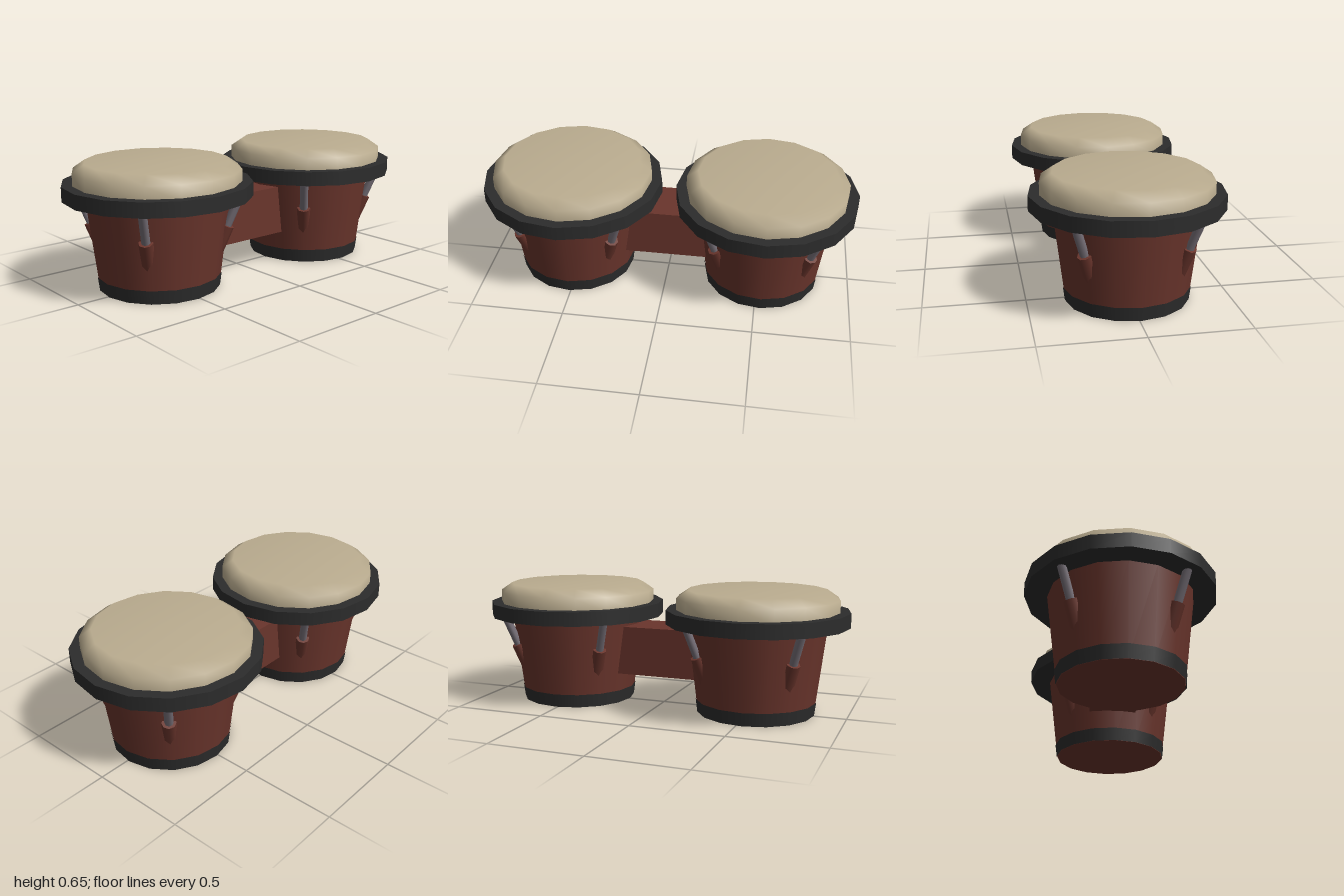
import * as THREE from 'three';

const SIDES = 16;
const TWIST = 0.035;

const paint = (color) => new THREE.MeshStandardMaterial({ color });
const wood = paint(0x6a352c);
const black = paint(0x2c2c2c);
const hide = paint(0xbbad90);
const steel = paint(0x777078);

function add(parent, name, geometry, material, y = 0) {
  const mesh = new THREE.Mesh(geometry, material);
  mesh.name = name;
  mesh.position.y = y;
  parent.add(mesh);
  return mesh;
}

// Tuning rod seated in a lug, leaning outward from the shell toward the rim
function createTuner() {
  const tuner = new THREE.Group();
  tuner.name = 'tuner';
  const lean = new THREE.Group();
  lean.position.set(0, 0.32, 0.35);
  lean.rotation.x = Math.atan(0.42);
  add(lean, 'lug', new THREE.CylinderGeometry(0.036, 0.036, 0.2, 8), wood, -0.1);
  add(lean, 'rod', new THREE.CylinderGeometry(0.022, 0.022, 0.24, 8), steel, 0.07);
  tuner.add(lean);
  return tuner;
}

function createDrum(name, x) {
  const drum = new THREE.Group();
  drum.name = name;
  drum.position.x = x;

  // Round parts share one slightly turned polygon
  const body = new THREE.Group();
  body.name = 'body';
  body.rotation.y = TWIST;
  drum.add(body);

  add(body, 'shell', new THREE.CylinderGeometry(0.367, 0.308, 0.48, SIDES), wood, 0.24);
  add(body, 'bottomBand', new THREE.CylinderGeometry(0.32, 0.311, 0.07, SIDES, 1, true), black, 0.035);
  add(body, 'rim', new THREE.CylinderGeometry(0.48, 0.48, 0.075, SIDES), black, 0.5075);

  // Drum skin with a softened shoulder
  const profile = [[0.425, 0.53], [0.425, 0.607], [0.365, 0.648], [0, 0.648]]
    .map(([r, y]) => new THREE.Vector2(r, y));
  add(body, 'skin', new THREE.LatheGeometry(profile, SIDES), hide);

  // Four tuners on the diagonals
  for (let i = 0; i < 4; i++) {
    const tuner = createTuner();
    tuner.rotation.y = Math.PI / 4 + i * Math.PI / 2;
    drum.add(tuner);
  }
  return drum;
}

export function createModel() {
  const model = new THREE.Group();
  model.name = 'bongoDrums';
  model.add(createDrum('leftDrum', 0.52), createDrum('rightDrum', -0.52));
  // Block joining the two shells
  add(model, 'bridge', new THREE.BoxGeometry(0.5, 0.26, 0.26), wood, 0.3);
  return model;
}
